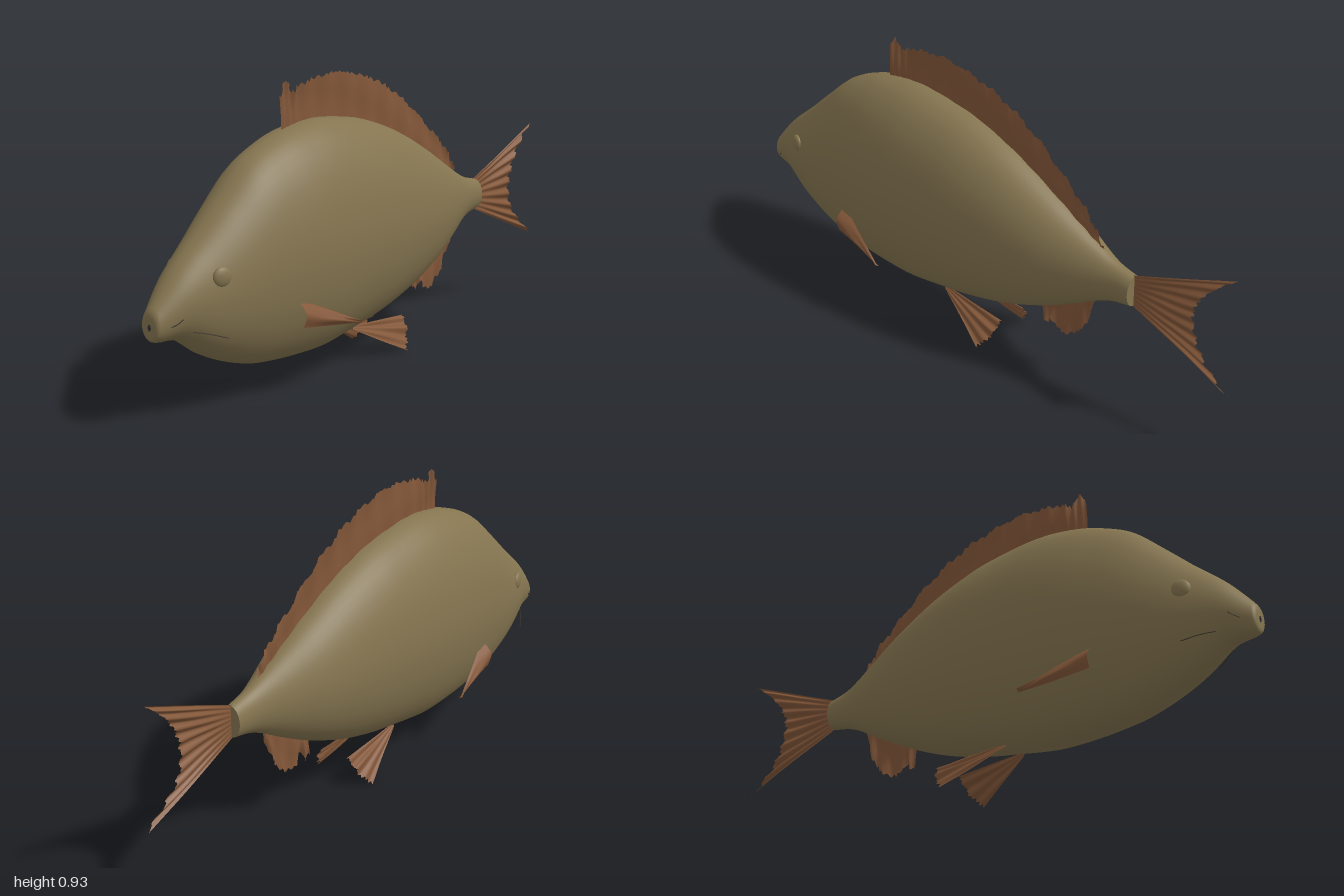
import * as THREE from 'three';

const material = (name, color, side = THREE.FrontSide) => {
  const m = new THREE.MeshStandardMaterial({ color, side });
  m.name = name;
  return m;
};
const V = (x, y, z = 0) => new THREE.Vector3(x, y, z);

// Body profile: x, back height, belly height, half width
const PROFILE = [
  [-1, 0.315, 0.295, 0.006], [-0.997, 0.345, 0.267, 0.03], [-0.975, 0.375, 0.257, 0.042],
  [-0.9, 0.455, 0.246, 0.072], [-0.8, 0.54, 0.182, 0.104], [-0.7, 0.63, 0.137, 0.13],
  [-0.6, 0.715, 0.106, 0.15], [-0.5, 0.763, 0.092, 0.165], [-0.4, 0.791, 0.085, 0.176],
  [-0.27, 0.805, 0.085, 0.18], [-0.12, 0.79, 0.107, 0.176], [0, 0.765, 0.128, 0.169],
  [0.15, 0.71, 0.168, 0.152], [0.3, 0.634, 0.228, 0.123], [0.42, 0.566, 0.29, 0.085],
  [0.5, 0.522, 0.335, 0.057], [0.56, 0.495, 0.36, 0.041], [0.63, 0.478, 0.374, 0.034],
];

// Smooth skin of elliptical rings
function bodyGeometry(rings = 102, sides = 48) {
  const heights = new THREE.CatmullRomCurve3(PROFILE.map(p => V(p[0], p[1], p[2])), false, 'catmullrom', 0.5);
  const widths = new THREE.CatmullRomCurve3(PROFILE.map(p => V(p[0], p[3])), false, 'catmullrom', 0.5);
  const pos = [], idx = [];
  for (let i = 0; i <= rings; i++) {
    const h = heights.getPoint(i / rings), w = widths.getPoint(i / rings).y;
    const mid = (h.y + h.z) / 2, ry = (h.y - h.z) / 2;
    for (let j = 0; j < sides; j++) {
      const a = (j / sides) * Math.PI * 2;
      pos.push(h.x, mid + ry * Math.cos(a), w * Math.sin(a));
      if (i === rings) continue;
      const p = i * sides + j, q = i * sides + (j + 1) % sides;
      idx.push(p, q, p + sides, q, q + sides, p + sides);
    }
  }
  const g = new THREE.BufferGeometry();
  g.setAttribute('position', new THREE.Float32BufferAttribute(pos, 3));
  g.setIndex(idx);
  g.computeVertexNormals();
  return g;
}

// Rippled sheet between a root line and a ragged outer edge
function finGeometry(root, edge, { rays = 30, ripple = 0.006, ragged = 0.012, normal = V(0, 0, 1) } = {}) {
  const a = new THREE.CatmullRomCurve3(root), b = new THREE.CatmullRomCurve3(edge);
  const nu = rays * 4, nv = 6, pos = [], idx = [];
  for (let i = 0; i <= nu; i++) {
    const u = i / nu, p = a.getPoint(u), q = b.getPoint(u);
    const notch = ragged * Math.abs(Math.sin(u * rays * Math.PI)) * (0.6 + 0.4 * Math.sin(i * 1.7));
    q.addScaledVector(p.clone().sub(q).normalize(), notch);
    for (let j = 0; j <= nv; j++) {
      const v = j / nv;
      const wave = ripple * v * (0.6 * Math.sin(u * rays * 2.1) + 0.4 * Math.sin(u * 9 + v * 5));
      const c = p.clone().lerp(q, v).addScaledVector(normal, wave);
      pos.push(c.x, c.y, c.z);
      if (i === nu || j === nv) continue;
      const k = i * (nv + 1) + j, m = k + nv + 1;
      idx.push(k, m, k + 1, m, m + 1, k + 1);
    }
  }
  const g = new THREE.BufferGeometry();
  g.setAttribute('position', new THREE.Float32BufferAttribute(pos, 3));
  g.setIndex(idx);
  g.computeVertexNormals();
  return g;
}

export function createModel() {
  const skin = material('olive skin', 0x857550);
  const finMat = material('brown fin', 0x835739, THREE.DoubleSide);
  const dark = material('dark strand', 0x3a3328);
  const model = new THREE.Group();
  model.name = 'fish';
  const add = (name, geometry, mat) => {
    const mesh = new THREE.Mesh(geometry, mat);
    mesh.name = name;
    model.add(mesh);
    return mesh;
  };

  add('body', bodyGeometry(), skin);

  // Flat end of the tail stalk
  const cap = add('tailStalkEnd', new THREE.CircleGeometry(1, 48).rotateY(Math.PI / 2), skin);
  cap.scale.set(1, 0.052, 0.034);
  cap.position.set(0.63, 0.426, 0);

  // Dorsal fin: x, root height, edge height
  const dorsal = [
    [-0.42, 0.76, 0.89], [-0.392, 0.765, 0.932], [-0.365, 0.77, 0.9], [-0.33, 0.775, 0.918],
    [-0.25, 0.78, 0.932], [-0.15, 0.77, 0.937], [-0.05, 0.755, 0.92], [0.05, 0.725, 0.893],
    [0.15, 0.685, 0.845], [0.25, 0.635, 0.78], [0.35, 0.58, 0.7], [0.43, 0.535, 0.635],
    [0.48, 0.51, 0.575], [0.505, 0.5, 0.53],
  ];
  add('dorsalFin', finGeometry(dorsal.map(p => V(p[0], p[1])), dorsal.map(p => V(p[0], p[2])),
    { rays: 38, ripple: 0.009 }), finMat);

  // Anal fin
  const anal = [
    [0.265, 0.25, 0.16], [0.285, 0.26, 0.145], [0.3, 0.265, 0.175], [0.33, 0.28, 0.145],
    [0.37, 0.3, 0.142], [0.41, 0.32, 0.165], [0.44, 0.335, 0.205], [0.465, 0.345, 0.262], [0.488, 0.36, 0.34],
  ];
  add('analFin', finGeometry(anal.map(p => V(p[0], p[1])), anal.map(p => V(p[0], p[2])),
    { rays: 14, ripple: 0.01 }), finMat);

  // Forked tail fin
  const fork = [[1, 0.627], [0.94, 0.58], [0.89, 0.525], [0.865, 0.475], [0.857, 0.43],
    [0.863, 0.38], [0.885, 0.33], [0.935, 0.275], [1, 0.222]];
  add('tailFin', finGeometry(fork.map((p, i) => V(0.62, 0.478 - 0.104 * i / 8)), fork.map(p => V(...p)),
    { rays: 26, ripple: 0.01 }), finMat);

  // Paired parts on both flanks
  for (const [side, s] of [['left', 1], ['right', -1]]) {
    const at = (x, y, z) => V(x, y, z * s);

    add(side + 'PectoralFin', finGeometry(
      [at(-0.52, 0.31, 0.135), at(-0.52, 0.268, 0.175), at(-0.52, 0.225, 0.165)],
      [at(-0.29, 0.203, 0.208), at(-0.29, 0.2, 0.205), at(-0.29, 0.197, 0.2)],
      { rays: 5, ripple: 0.008, ragged: 0, normal: at(0, 0.3, 0.9) }), finMat);

    add(side + 'PelvicFin', finGeometry(
      [at(-0.13, 0.122, 0.043), at(-0.13, 0.117, 0.046), at(-0.13, 0.112, 0.049)],
      [at(0.135, 0.105, 0.052), at(0.12, 0.055, 0.082), at(0.08, 0.003, 0.112)],
      { rays: 9, ripple: 0.008, normal: at(0, 0.5, 0.86) }), finMat);

    // Low eye bulge
    const eye = add(side + 'Eye', new THREE.SphereGeometry(0.03, 24, 16), skin);
    eye.scale.z = 0.45;
    eye.position.set(-0.8, 0.425, 0.095 * s);
    eye.rotation.y = -0.3 * s;

    // Fine strands beside the mouth
    const strands = [
      [at(-0.96, 0.305, 0.047), at(-0.945, 0.313, 0.058), at(-0.93, 0.325, 0.066)],
      [at(-0.885, 0.277, 0.06), at(-0.85, 0.268, 0.085), at(-0.8, 0.25, 0.115)],
    ];
    strands.forEach((points, i) => add(side + ['Nostril', 'Mouth'][i] + 'Strand',
      new THREE.TubeGeometry(new THREE.CatmullRomCurve3(points), 10, 0.0015, 5), dark));
  }
  return model;
}
